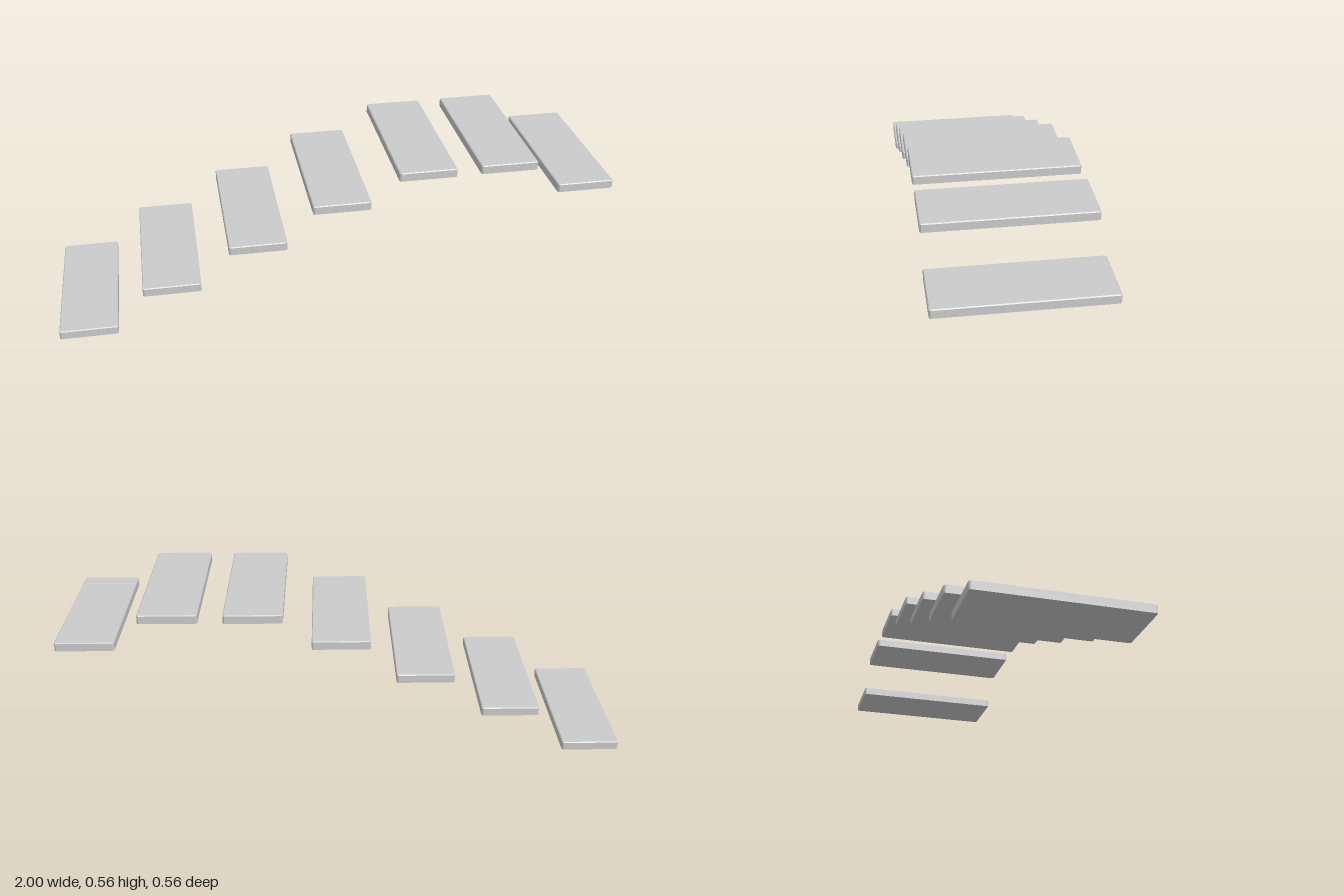
import * as THREE from 'three';

const WIDTH = 0.205, HEIGHT = 0.031, DEPTH = 0.564;
const CORNER = 0.005, CHAMFER = 0.003;

// Thin slab: clipped upright corners, chamfered top rim, sharp flat underside at y = 0
function slabGeometry() {
  const x = WIDTH / 2, z = DEPTH / 2, c = CORNER;
  const outline = new THREE.Shape([
    [x - c, -z], [x, c - z], [x, z - c], [x - c, z],
    [c - x, z], [-x, z - c], [-x, c - z], [c - x, -z],
  ].map(([a, b]) => new THREE.Vector2(a, b)));
  const geometry = new THREE.ExtrudeGeometry(outline, { depth: HEIGHT, steps: 2, bevelEnabled: false });
  geometry.rotateX(-Math.PI / 2);

  // Raise the middle ring to the chamfer line and draw the top ring inward
  const p = geometry.attributes.position;
  for (let i = 0; i < p.count; i++) {
    const level = Math.round((p.getY(i) / HEIGHT) * 2);
    if (level === 1) p.setY(i, HEIGHT - CHAMFER);
    if (level === 2) {
      p.setX(i, p.getX(i) - Math.sign(p.getX(i)) * CHAMFER);
      p.setZ(i, p.getZ(i) - Math.sign(p.getZ(i)) * CHAMFER);
    }
  }
  geometry.computeVertexNormals();
  return geometry;
}

export function createModel() {
  const group = new THREE.Group();
  group.name = 'floatingSteps';
  const material = new THREE.MeshStandardMaterial({ color: 0xcccccc, flatShading: true });
  const geometry = slabGeometry();

  // Centre x and underside height of each slab, rising then dipping
  const steps = [
    [-0.897, 0], [-0.594, 0.148], [-0.286, 0.286], [0.011, 0.42],
    [0.313, 0.522], [0.605, 0.524], [0.896, 0.422],
  ];
  steps.forEach(([x, y], i) => {
    const slab = new THREE.Mesh(geometry, material);
    slab.name = `stepSlab${i + 1}`;
    slab.position.set(x, y, 0);
    group.add(slab);
  });
  return group;
}
